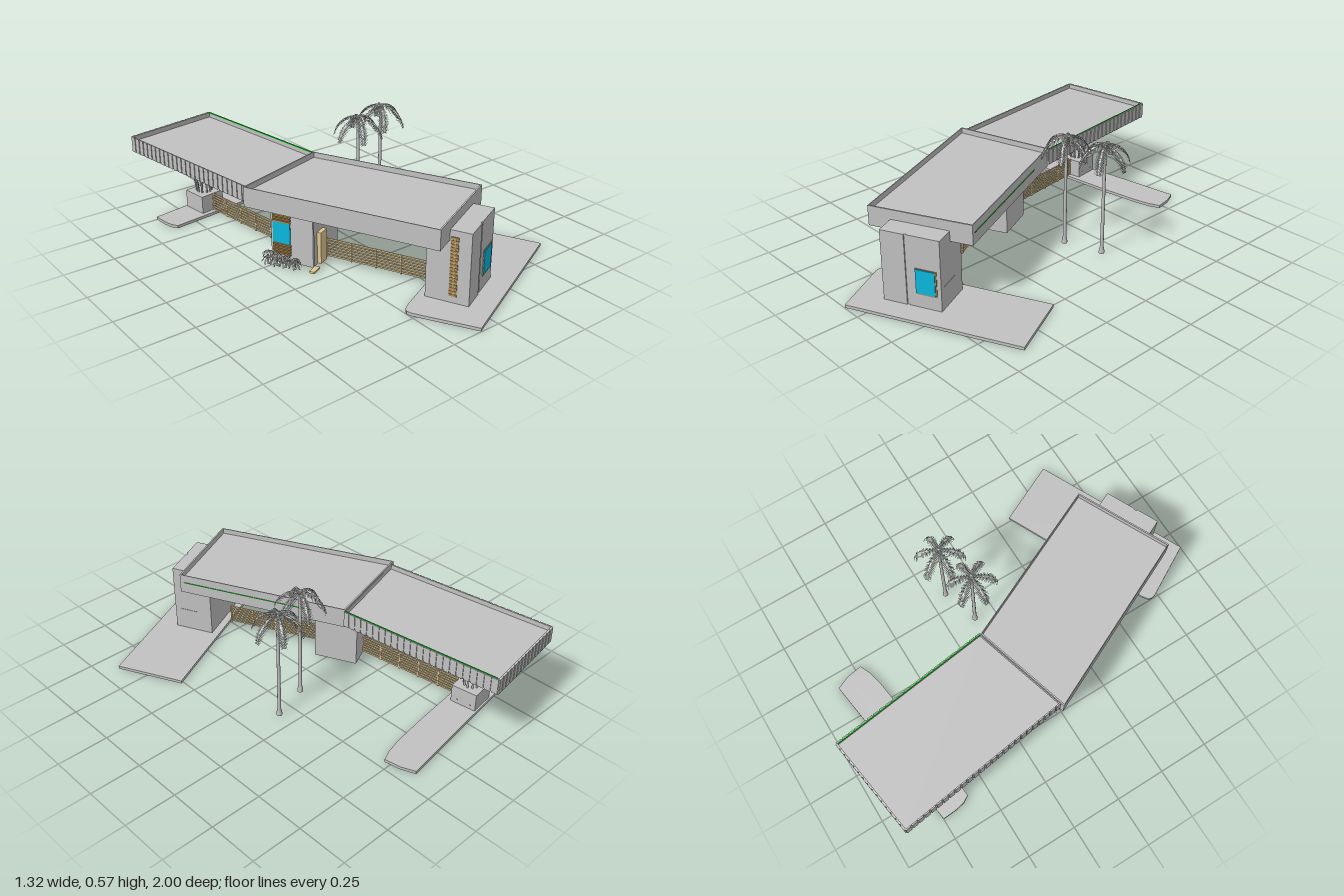
import * as THREE from 'three';

const mat = (name, color, side = THREE.FrontSide) => {
  const m = new THREE.MeshStandardMaterial({ color, side });
  m.name = name;
  return m;
};

export function createModel() {
  const root = new THREE.Group();
  root.name = 'pavilion';
  const M = {
    concrete: mat('concrete', 0xc1c1c1),
    leaf: mat('frondGrey', 0xc1c1c1, THREE.DoubleSide),
    wood: mat('paleWood', 0xe2c894),
    frame: mat('brownWood', 0xae8748),
    glass: mat('blueGlass', 0x0ab8de),
    green: mat('greenStrip', 0x08c018),
  };

  const add = (name, geo, m, parent = root) => {
    const mesh = new THREE.Mesh(geo, m);
    mesh.name = name;
    parent.add(mesh);
    return mesh;
  };
  const group = (name, x, z, turn) => {
    const g = new THREE.Group();
    g.name = name;
    g.position.set(x, 0, z);
    g.rotation.y = turn;
    root.add(g);
    return g;
  };
  // box given by its minimum and maximum corners
  const box = (name, x0, x1, y0, y1, z0, z1, m, parent = root) => {
    const b = add(name, new THREE.BoxGeometry(x1 - x0, y1 - y0, z1 - z0), m, parent);
    b.position.set((x0 + x1) / 2, (y0 + y1) / 2, (z0 + z1) / 2);
    return b;
  };
  const vecs = (pts) => pts.map(([x, z]) => new THREE.Vector2(x, -z));
  const shrink = (pts, s) => {
    const cx = pts.reduce((a, p) => a + p[0], 0) / pts.length;
    const cz = pts.reduce((a, p) => a + p[1], 0) / pts.length;
    return pts.map(([x, z]) => [cx + (x - cx) * s, cz + (z - cz) * s]);
  };
  // horizontal slab from a plan outline, with an optional hole
  const slab = (name, pts, y0, y1, m, hole, parent = root) => {
    const s = new THREE.Shape(vecs(pts));
    if (hole) s.holes.push(new THREE.Path(vecs(hole)));
    const g = new THREE.ExtrudeGeometry(s, { depth: y1 - y0, bevelEnabled: false });
    g.rotateX(-Math.PI / 2);
    g.translate(0, y0, 0);
    return add(name, g, m, parent);
  };
  // box standing along a plan line from a to b
  const along = (name, a, b, y0, y1, t, m) => {
    const dx = b[0] - a[0], dz = b[1] - a[1];
    const mesh = add(name, new THREE.BoxGeometry(Math.hypot(dx, dz), y1 - y0, t), m);
    mesh.position.set((a[0] + b[0]) / 2, (y0 + y1) / 2, (a[1] + b[1]) / 2);
    mesh.rotation.y = -Math.atan2(dz, dx);
    return mesh;
  };
  const mix = (a, b, t) => [a[0] + (b[0] - a[0]) * t, a[1] + (b[1] - a[1]) * t];

  // ground slabs
  slab('frontTerrace', [[-0.097, 0.998], [0.662, 0.64], [0.513, 0.332], [-0.215, 0.673],
    [-0.24, 0.69], [-0.25, 0.71], [-0.243, 0.735]], 0, 0.015, M.concrete);
  slab('rearTerrace', [[0.172, -0.865], [0.2, -0.80], [0.214, -0.72], [0.16, -0.697], [0.08, -0.678],
    [-0.12, -0.65], [-0.61, -0.597], [-0.63, -0.63], [-0.64, -0.68], [-0.645, -0.75]], 0, 0.015, M.concrete);

  // front roof tray with raised rim
  const fr = [[-0.161, 0.804], [0.289, 0.589], [-0.073, -0.187], [-0.56, -0.047]];
  slab('frontRoof', fr, 0.31, 0.38, M.concrete);
  slab('frontRoofRim', fr, 0.38, 0.407, M.concrete, shrink(fr, 0.984));
  along('frontRoofPlanting', mix(fr[1], fr[2], 0.02), mix(fr[1], fr[2], 0.8), 0.364, 0.367, 0.006, M.green);

  // rear roof tray, clad in upright panels
  const rr = [[-0.064, -0.182], [-0.168, -1.0], [-0.662, -0.927], [-0.54, -0.043]];
  const back = shrink(rr, 0.99);
  slab('rearRoof', back, 0.325, 0.375, M.concrete);
  slab('rearRoofRim', back, 0.375, 0.399, M.concrete, shrink(rr, 0.975));
  for (let e = 0; e < 3; e++) {
    const a = mix(rr[e], back[e], 0.6), b = mix(rr[e + 1], back[e + 1], 0.6);
    const n = Math.round(Math.hypot(b[0] - a[0], b[1] - a[1]) / 0.034);
    for (let i = 0; i < n; i++)
      along('claddingPanel', mix(a, b, (i + 0.1) / n), mix(a, b, (i + 0.9) / n), 0.322, 0.4, 0.005, M.concrete);
  }
  along('rearRoofPlanting', [-0.071, -0.19], [-0.173, -0.985], 0.397, 0.402, 0.006, M.green);

  // front tower
  const A = 0.439;
  const tower = group('tower', -0.021, 0.844, A);
  box('towerBody', 0, 0.282, 0.015, 0.36, -0.2, -0.004, M.concrete, tower);
  box('towerFrontPanel', 0, 0.115, 0.015, 0.36, -0.01, 0.002, M.concrete, tower);
  box('towerSidePanel', 0.128, 0.282, 0.015, 0.36, -0.01, 0, M.concrete, tower);
  box('towerWindowFrame', 0.162, 0.263, 0.081, 0.207, -0.002, 0.003, M.frame, tower);
  box('towerWindow', 0.163, 0.256, 0.087, 0.204, 0, 0.006, M.glass, tower);
  box('towerVent', 0.281, 0.284, 0.123, 0.127, -0.13, -0.03, M.concrete, tower);
  for (let i = 0; i < 18; i++)
    box('trellisRung', -0.004, 0.002, 0.048 + i * 0.016, 0.058 + i * 0.016, -0.09, -0.055, M.frame, tower);
  box('trellisRail', -0.003, 0.001, 0.045, 0.33, -0.077, -0.068, M.wood, tower);

  // middle room: open below, door on the south, window on the west
  const room = group('room', -0.33, 0.153, A);
  const plan = [[0, 0], [0.243, 0], [0.243, -0.217], [0, -0.217]];
  slab('roomWalls', plan, 0.008, 0.275, M.concrete, shrink(plan, 0.92), room);
  slab('roomCeiling', plan, 0.275, 0.284, M.concrete, null, room);
  box('door', 0.043, 0.099, 0.012, 0.17, -0.011, 0.02, M.wood, room);
  box('roomWindow', -0.005, 0.012, 0.1, 0.205, -0.205, -0.115, M.glass, room);
  for (let i = 0; i < 9; i++) {
    const y = i < 4 ? 0.042 + i * 0.015 : 0.206 + (i - 4) * 0.013;
    box('windowSlat', -0.008, 0.011, y, y + 0.008, -0.205, -0.112, M.frame, room);
  }
  box('roofPost', -0.004, 0.009, 0.008, 0.31, -0.006, 0.004, M.concrete, room);
  box('roofSupport', 0.105, 0.145, 0.284, 0.312, -0.13, -0.09, M.concrete, room);
  box('doorMat', -0.045, 0.012, 0.004, 0.014, 0.005, 0.03, M.wood, room);

  // slatted fences
  const fence = (a, b, posts) => {
    for (let i = 0; i < 7; i++)
      along('fenceSlat', a, b, 0.014 + i * 0.0141, 0.022 + i * 0.0141, 0.005, M.wood);
    for (let i = 0; i <= posts; i++) {
      const p = mix(a, b, i / posts);
      box('fencePost', p[0] - 0.004, p[0] + 0.004, 0.01, 0.106, p[1] - 0.004, p[1] + 0.004, M.wood);
    }
  };
  fence([-0.213, 0.108], [0, 0.56], 4);
  fence([-0.30, -0.10], [-0.372, -0.65], 5);

  // planter base with a flared bundle of struts
  const base = group('planter', -0.385, -0.713, 0.134);
  box('planterBox', -0.066, 0.066, 0.014, 0.105, -0.065, 0.065, M.concrete, base);
  for (const z of [-0.04, 0.03]) box('planterVent', 0.064, 0.068, 0.03, 0.04, z, z + 0.008, M.concrete, base);
  const up = new THREE.Vector3(0, 1, 0);
  for (let i = 0; i < 10; i++) {
    const t = (i / 10) * Math.PI * 2, c = Math.cos(t), s = Math.sin(t);
    const p = new THREE.Vector3(c * 0.035, 0.1, s * 0.035), q = new THREE.Vector3(c * 0.066, 0.328, s * 0.066);
    const d = q.clone().sub(p);
    const rod = add('strut', new THREE.CylinderGeometry(0.005, 0.005, d.length(), 6), M.concrete, base);
    rod.position.copy(p).add(q).multiplyScalar(0.5);
    rod.quaternion.setFromUnitVectors(up, d.normalize());
  }

  // feathered frond arching along +x from the origin
  const frondGeo = () => {
    const pos = [], n = 24;
    const at = (t) => [0.122 * Math.sin(t * 1.45), -0.122 * (1 - Math.cos(t * 1.45)), 0];
    for (let i = 0; i < n; i++) {
      const p = at(i / n), q = at((i + 1) / n);
      pos.push(p[0], p[1], -0.002, q[0], q[1], 0.002, p[0], p[1], 0.002);
      pos.push(p[0], p[1], -0.002, q[0], q[1], -0.002, q[0], q[1], 0.002);
      const w = 0.028 * Math.sin(Math.PI * (0.15 + 0.7 * i / n));
      for (const s of [-1, 1])
        pos.push(...p, ...q, p[0] + 0.01 * (1 - i / n), p[1] - w * 0.9, s * w);
    }
    const g = new THREE.BufferGeometry();
    g.setAttribute('position', new THREE.Float32BufferAttribute(pos, 3));
    g.computeVertexNormals();
    return g;
  };
  const frond = frondGeo();
  const crown = (parent, y, scale, count) => {
    for (let i = 0; i < count; i++) {
      const f = add('frond', frond, M.leaf, parent);
      f.position.y = y;
      f.scale.setScalar(scale);
      f.rotation.y = (i / count) * Math.PI * 2;
    }
  };

  // palms
  for (const [x, z, turn] of [[0.137, -0.105, 0.08], [0.327, -0.165, 0]]) {
    const palm = group('palm', x, z, turn);
    const prof = [[0.014, 0], [0.014, 0.01], [0.009, 0.035], [0.008, 0.3], [0.007, 0.54], [0.011, 0.55], [0, 0.568]];
    add('palmTrunk', new THREE.LatheGeometry(prof.map((p) => new THREE.Vector2(...p)), 10), M.concrete, palm);
    crown(palm, 0.568, 1, 6);
  }

  // low shrubs beside the room window
  [[-0.465, -0.01], [-0.445, 0.03], [-0.425, 0.07], [-0.4, 0.11]].forEach(([x, z], i) => {
    const shrub = group('shrub', x, z, i);
    const stem = add('shrubStem', new THREE.CylinderGeometry(0.004, 0.006, 0.05, 6), M.concrete, shrub);
    stem.position.y = 0.03;
    crown(shrub, 0.075 - i * 0.005, 0.24, 8);
    crown(shrub, 0.045, 0.27, 7);
  });
  return root;
}
